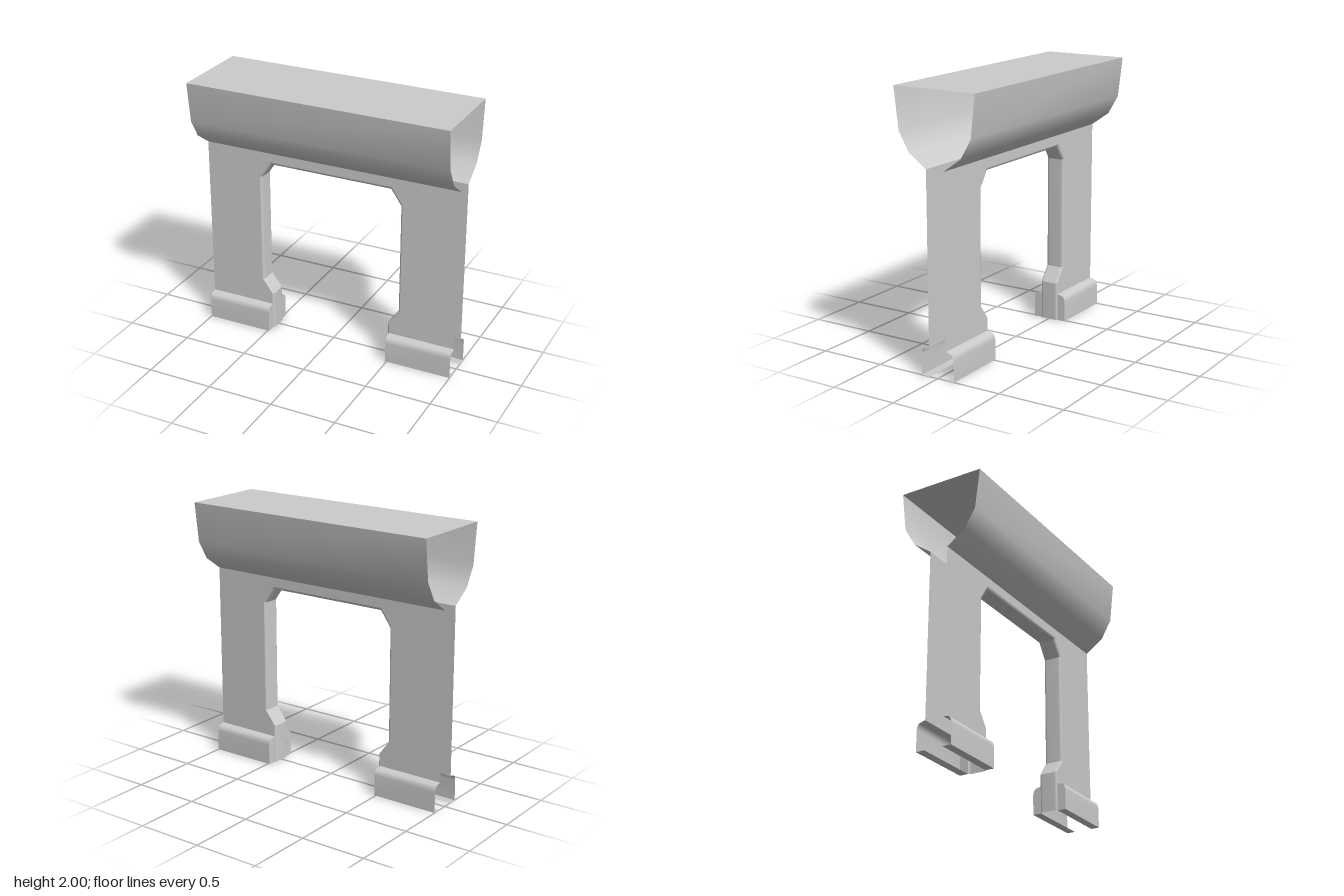
import * as THREE from 'three';

const material = new THREE.MeshStandardMaterial({ color: 0xcccccc, side: THREE.DoubleSide });
const WALL_Z = 0.07;

function addMesh(parent, name, geometry) {
  const mesh = new THREE.Mesh(geometry, material);
  mesh.name = name;
  parent.add(mesh);
  return mesh;
}

// Smooth sheet through rows of [x, y, z] points
function sheet(rows) {
  const n = rows[0].length;
  const index = [];
  for (let r = 0; r < rows.length - 1; r++) {
    for (let c = 0; c < n - 1; c++) {
      const a = r * n + c, b = a + n;
      index.push(a, b, a + 1, b, b + 1, a + 1);
    }
  }
  const geometry = new THREE.BufferGeometry();
  geometry.setAttribute('position', new THREE.Float32BufferAttribute(rows.flat(2), 3));
  geometry.setIndex(index);
  geometry.computeVertexNormals();
  return geometry;
}

// Sweep a [z, y] profile along x
const sweepX = (profile, x0, x1) => sheet(profile.map(([z, y]) => [[x0, y, z], [x1, y, z]]));

const toShape = (points) => new THREE.Shape(points.map(([x, y]) => new THREE.Vector2(x, y)));

// Opening outline from the right foot, over the top, down to the left foot
const mirrored = (half) => [...half.map(([x, y]) => [-x, y]), ...half.slice().reverse()];
const faceOutline = mirrored([[0.487, 0], [0.487, 0.3], [0.57, 0.41], [0.57, 1.265], [0.485, 1.39]]);
const innerOutline = mirrored([[0.475, 0], [0.475, 0.295], [0.556, 0.405], [0.556, 1.255], [0.475, 1.37]]);

// Rounded lip: [z, blend from face outline to inner outline]
const lip = [[WALL_Z, 0], [0.067, 0.5], [0.06, 0.87], [0.05, 1], [0, 1]];

const hopperProfile = [[0.325, 2], [0.29, 1.7], [0.21, 1.56], [WALL_Z, 1.46]];
const footProfile = [[WALL_Z, 0.208], [0.115, 0.197], [0.127, 0.182], [0.135, 0.155], [0.135, 0]];

function createHalf(name) {
  const half = new THREE.Group();
  half.name = name;

  // Flared upper wall
  addMesh(half, 'flaredWall', sweepX(hopperProfile, -1, 1));

  // Flat wall with both legs, stopping at the top of the feet
  const footTop = footProfile[0][1];
  const wallEdge = faceOutline.map(([x, y]) => [x, Math.max(y, footTop)]);
  const wall = new THREE.ShapeGeometry(
    toShape([[-1, 1.46], [-1, footTop], ...wallEdge, [1, footTop], [1, 1.46]]));
  wall.translate(0, 0, WALL_Z);
  addMesh(half, 'archWall', wall);

  // Rounded lining of the opening, one strip per straight run
  const lining = new THREE.Group();
  lining.name = 'openingLining';
  half.add(lining);
  for (let i = 0; i < faceOutline.length - 1; i++) {
    const rows = lip.map(([z, t]) => [i, i + 1].map((k) => [
      THREE.MathUtils.lerp(faceOutline[k][0], innerOutline[k][0], t),
      THREE.MathUtils.lerp(faceOutline[k][1], innerOutline[k][1], t),
      z,
    ]));
    addMesh(lining, 'liningStrip', sheet(rows));
  }

  // Feet: moulded shell, bottom flange and inner end cap
  for (const side of [1, -1]) {
    const foot = new THREE.Group();
    foot.name = side > 0 ? 'leftFoot' : 'rightFoot';
    half.add(foot);
    const x0 = side > 0 ? 0.487 : -1;
    const x1 = side > 0 ? 1 : -0.487;
    addMesh(foot, 'footShell', sweepX(footProfile, x0, x1));
    addMesh(foot, 'footFlange', sweepX([[0.135, 0], [WALL_Z, 0]], x0, x1));
    const cap = new THREE.ShapeGeometry(
      toShape([...footProfile, [WALL_Z, 0]].map(([z, y]) => [z * side, y])));
    cap.rotateY(-side * Math.PI / 2);
    cap.translate(side * 0.487, 0, 0);
    addMesh(foot, 'footEndCap', cap);
  }
  return half;
}

export function createModel() {
  const model = new THREE.Group();
  model.name = 'archShell';

  const front = createHalf('frontHalf');
  const back = createHalf('backHalf');
  back.rotation.y = Math.PI;
  model.add(front, back);

  // Flat top
  const top = new THREE.PlaneGeometry(2, 0.65);
  top.rotateX(-Math.PI / 2);
  top.translate(0, 2, 0);
  addMesh(model, 'topPanel', top);

  return model;
}
